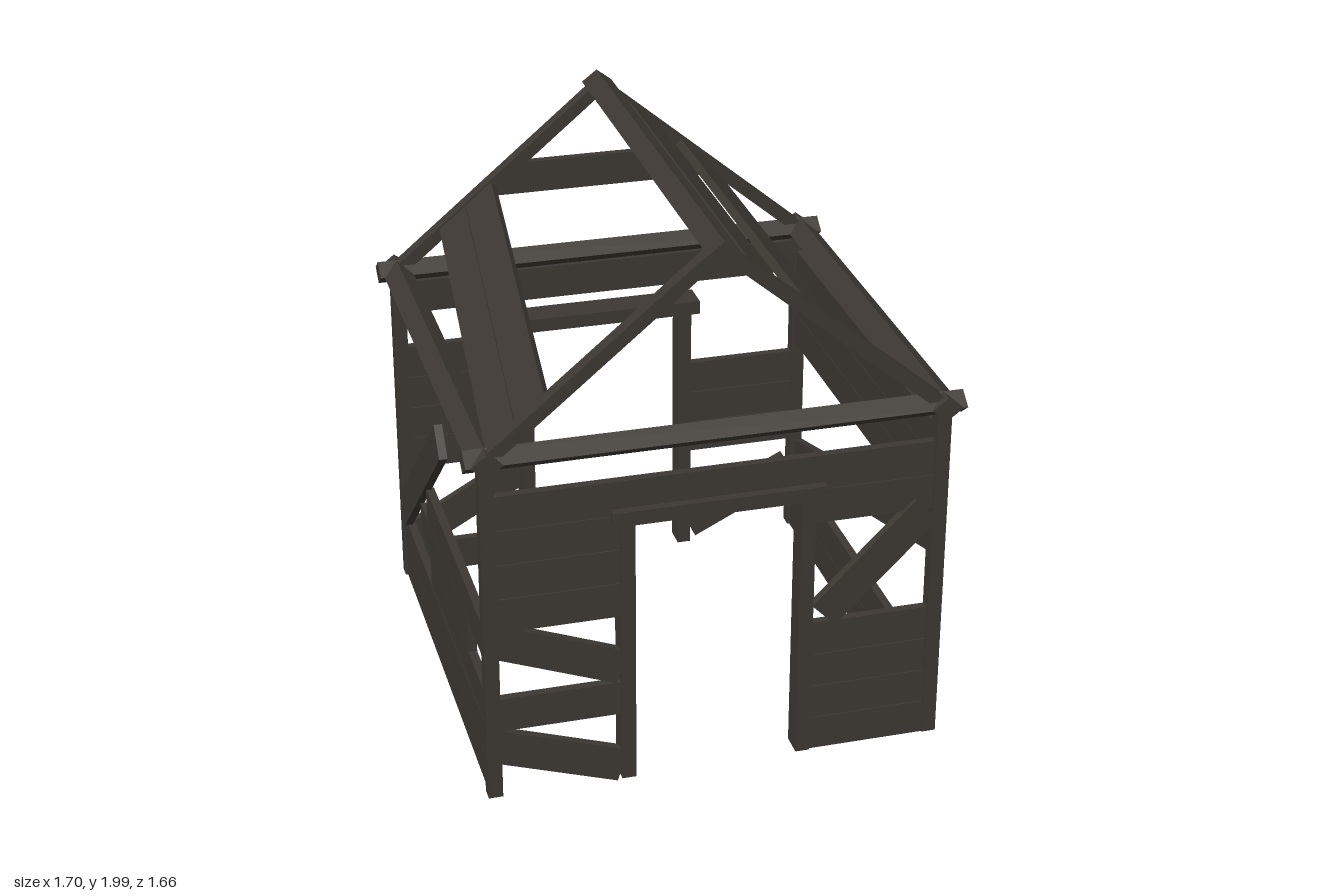
import * as THREE from 'three';

const wood = new THREE.MeshStandardMaterial({ color: 0x3d3832, flatShading: true });
const ROW = 0.1285, BASE = 0.02;       // plank row pitch and lowest edge
const HALF = 0.78;                     // wall planes sit at +-HALF
const EAVE = 1.308, RIDGE = 1.96;
const END = 0.757;                     // plank end behind a corner post
const DOOR = 0.335;                    // plank end behind a door post

function add(parent, name, geometry, x = 0, y = 0, z = 0) {
  const mesh = new THREE.Mesh(geometry, wood);
  mesh.name = name;
  mesh.position.set(x, y, z);
  parent.add(mesh);
  return mesh;
}

// Plank whose centre line joins two points of its panel's plane
function plank(panel, name, x1, y1, x2, y2, width = 0.126, offset = 0, thick = 0.03) {
  const length = Math.hypot(x2 - x1, y2 - y1);
  const mesh = add(panel, name, new THREE.BoxGeometry(length, width, thick),
    (x1 + x2) / 2, (y1 + y2) / 2, offset);
  mesh.rotation.z = Math.atan2(y2 - y1, x2 - x1);
}

// Stack of level planks rising from y
function rows(panel, x1, x2, y, count) {
  for (let i = 0; i < count; i++) {
    const c = y + (i + 0.5) * ROW;
    plank(panel, 'wallPlank', x1, c, x2, c);
  }
}

// Beam with a flattened diamond section, lying along z
function diamond(length) {
  return new THREE.CylinderGeometry(1, 1, length, 4).scale(0.055, 1, 0.042).rotateX(Math.PI / 2);
}

function panel(root, name) {
  const g = new THREE.Group();
  g.name = name;
  root.add(g);
  return g;
}

export function createModel() {
  const root = new THREE.Group();
  root.name = 'plankHut';

  // Timber frame
  const frame = panel(root, 'frame');
  add(frame, 'ridgeBeam', diamond(1.66), 0, 1.957, 0);
  for (const s of [-1, 1]) {
    add(frame, 'sideEaveBeam', diamond(1.66), s * HALF, EAVE, 0);
    add(frame, 'endEaveBeam', diamond(1.7).rotateY(Math.PI / 2), 0, EAVE, s * 0.775);
    add(frame, 'doorLintel', new THREE.BoxGeometry(0.735, 0.052, 0.115), 0, 1.05, s * 0.768);
    for (const t of [-1, 1]) {
      add(frame, 'cornerPost', new THREE.BoxGeometry(0.05, EAVE - 0.025, 0.05),
        s * HALF, (EAVE + 0.025) / 2, t * HALF);
      add(frame, 'doorPost', new THREE.BoxGeometry(0.05, 1.005, 0.085),
        s * 0.312, 0.5275, t * 0.765);
      const rafter = add(frame, 'rafter',
        new THREE.BoxGeometry(Math.hypot(HALF, RIDGE - EAVE), 0.045, 0.05),
        s * HALF / 2, (EAVE + RIDGE) / 2, t * HALF);
      rafter.rotation.z = -s * Math.atan2(RIDGE - EAVE, HALF);
    }
  }

  // Front wall
  const front = panel(root, 'frontWall');
  front.position.z = HALF;
  rows(front, -END, END, 1.05, 1);
  rows(front, -END, -DOOR, 0.665, 3);
  rows(front, -END, -DOOR, 0.28, 1);
  plank(front, 'slantedPlank', -0.77, 0.635, -0.33, 0.465);
  plank(front, 'slantedPlank', -0.77, 0.22, -0.33, 0.07);
  rows(front, DOOR, END, 0.922, 1);
  rows(front, DOOR, END, BASE, 4);
  plank(front, 'slantedPlank', 0.375, 0.565, 0.735, 0.925, 0.12, 0.012);

  // Back wall
  const back = panel(root, 'backWall');
  back.position.z = -HALF;
  rows(back, -END, END, 1.135, 1);
  rows(back, -END, -DOOR, 0.484, 4);
  plank(back, 'slantedPlank', -0.77, 0.175, -0.33, 0.42);
  rows(back, -END, -DOOR, BASE, 1);
  rows(back, DOOR, END, 0.408, 3);
  plank(back, 'slantedPlank', 0.76, 0.28, 0.345, 0.075, 0.126, -0.005);

  // Gable board, cut to the roof slope, on the back only
  const gable = new THREE.Shape([
    [-0.46, 1.57], [0.46, 1.57], [0.32, 1.69], [-0.32, 1.69],
  ].map(p => new THREE.Vector2(...p)));
  add(back, 'gableBoard',
    new THREE.ExtrudeGeometry(gable, { depth: 0.03, bevelEnabled: false }), 0, 0, -0.015);

  // Side walls: panel x runs towards the front
  const right = panel(root, 'sideWallPlusX');
  const left = panel(root, 'sideWallMinusX');
  right.position.x = HALF;
  left.position.x = -HALF;
  right.rotation.y = left.rotation.y = -Math.PI / 2;
  rows(right, -END, END, BASE, 2);
  rows(right, -END, END, 0.836, 3);
  plank(right, 'slantedPlank', -0.76, 0.338, 0.76, 0.788, 0.124, -0.012);

  rows(left, -END, END, BASE, 2);
  rows(left, -0.22, END, 0.28, 1);
  rows(left, -0.39, 0.475, 0.408, 1);
  rows(left, -0.26, END, 0.537, 1);
  plank(left, 'slantedPlank', -0.745, 0.32, 0.07, 1.02, 0.126, 0.012);

  // Roof slopes: panel x runs towards the front, panel y up the slope from the ridge
  const slope = Math.hypot(HALF, RIDGE - EAVE);
  const perX = slope / HALF;
  const roofs = [1, -1].map(s => {
    const g = panel(root, s > 0 ? 'roofPlusX' : 'roofMinusX');
    const along = new THREE.Vector3(0, 0, 1);
    const up = new THREE.Vector3(-s * HALF, RIDGE - EAVE, 0).normalize();
    g.quaternion.setFromRotationMatrix(
      new THREE.Matrix4().makeBasis(along, up, along.clone().cross(up)));
    g.position.y = RIDGE;
    return g;
  });
  for (const x of [0.148, 0.34]) {
    plank(roofs[0], 'roofPlank', -END, -x * perX, END, -x * perX);
  }
  // Pair of slipped planks on the other slope
  for (const x of [-0.05, 0.05]) {
    plank(roofs[1], 'slippedRoofPlank',
      -0.77, -(0.508 + x) * perX, 0.8, -(0.667 + x) * perX, 0.127);
  }
  return root;
}
